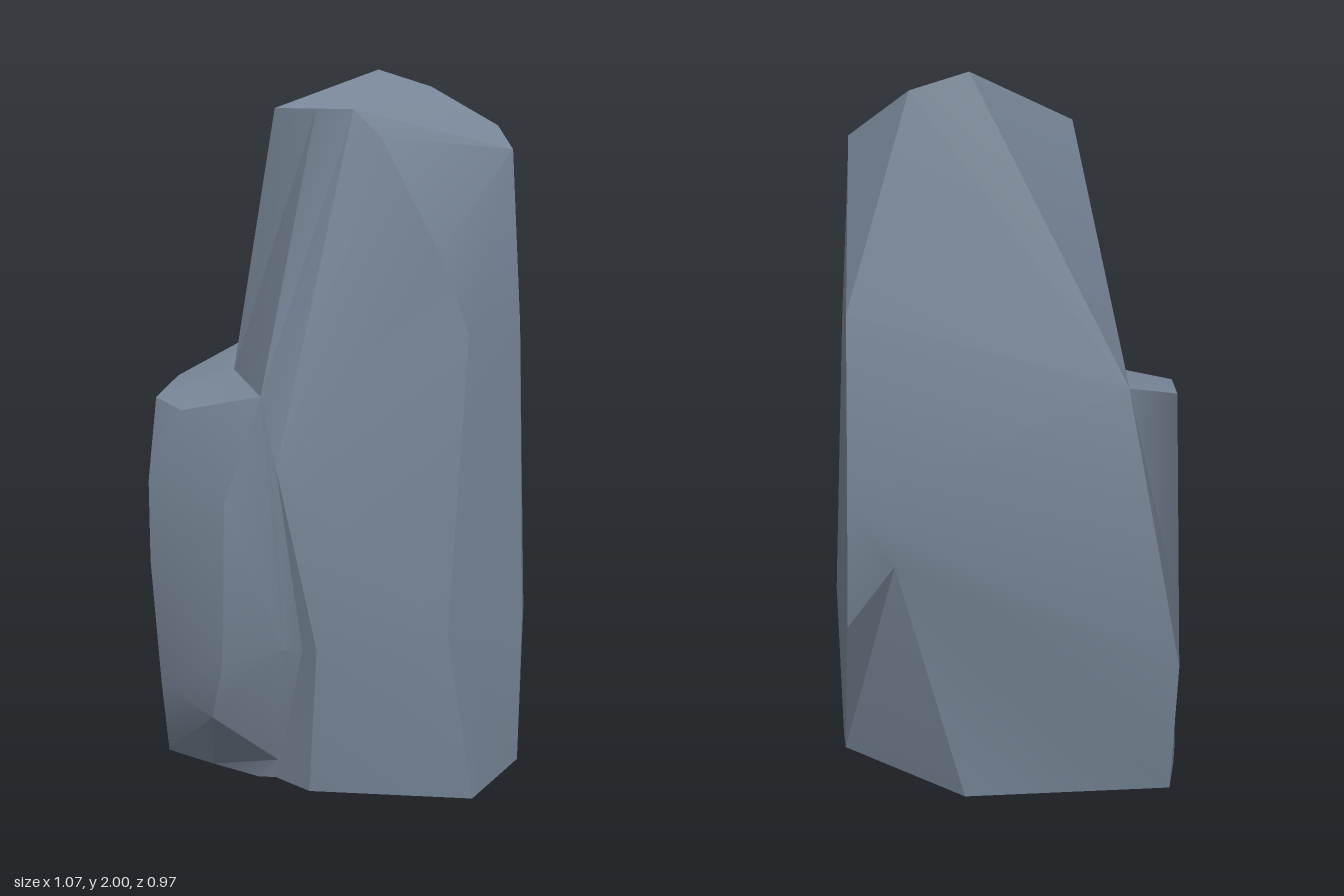
import * as THREE from 'three';
import { toCreasedNormals } from 'three/addons/utils/BufferGeometryUtils.js';

// Triangles between two ridges of any length, each running from top to bottom
function strip(a, b) {
  const tris = [];
  let i = 0, j = 0;
  while (i < a.length - 1 || j < b.length - 1) {
    const nextA = i < a.length - 1 ? a[i + 1][1] : -1;
    const nextB = j < b.length - 1 ? b[j + 1][1] : -1;
    if (nextA >= nextB) tris.push([a[i], a[++i], b[j]]);
    else tris.push([a[i], b[j + 1], b[j++]]);
  }
  return tris;
}

function fan(center, ring) {
  return ring.slice(1).map((p, i) => [center, ring[i], p]);
}

// Shared corners are the same array, so collapsed triangles are easy to drop
function buildMesh(name, tris, material) {
  const solid = tris.filter(([a, b, c]) => a !== b && b !== c && c !== a);
  const geometry = new THREE.BufferGeometry();
  geometry.setAttribute('position', new THREE.Float32BufferAttribute(solid.flat(2), 3));
  const mesh = new THREE.Mesh(toCreasedNormals(geometry, 0.45), material);
  mesh.name = name;
  return mesh;
}

export function createModel() {
  const stone = new THREE.MeshStandardMaterial({ color: 0x778596 });
  stone.name = 'slate stone';

  // Summit corners
  const peak = [0.155, 2, -0.28], peakRight = [0.315, 1.95, -0.28];
  const sideBack = [0.475, 1.84, -0.04], sideFront = [0.475, 1.78, 0.195];
  const brow = [0.02, 1.89, 0.37], browLeft = [-0.07, 1.89, 0.27], crownLeft = [-0.17, 1.89, 0.045];

  // Shoulder ledge corners
  const ledgeBack = [-0.26, 1.165, -0.42], ledgeSide = [-0.455, 1.11, -0.12];
  const ledgeCorner = [-0.51, 1.11, 0.22], ledgeLip = [-0.44, 1.09, 0.31];
  const ledgeFront = [-0.23, 1.15, 0.45], ledgeInner = [-0.293, 1.165, 0.105];

  // Corners shared by neighbouring ridges
  const cleft = [-0.19, 0.95, 0.43], sideMid = [0.5, 1.3, 0.225], notchTop = [0.53, 0.48, 0.22];

  // Back corners
  const backEdge = [[0.49, 1.36, -0.32], [0.495, 0.85, -0.36], [0.5, 0.49, -0.28], [0.51, 0.055, -0.03]];
  const backBulge = [-0.393, 0.41, -0.485], backHollow = [0.37, 0.68, -0.365];
  const backFootLeft = [-0.4, 0.015, -0.35], backFoot = [0.178, 0, -0.315];

  // Ridges running down the rock, from back left round the front to back right
  const ridges = [
    [ledgeBack, backBulge, backFootLeft],
    [ledgeSide, [-0.47, 0.45, -0.12], [-0.46, 0, -0.12]],
    [ledgeCorner, [-0.535, 0.88, 0.25], [-0.535, 0.65, 0.25], [-0.512, 0.28, 0.235], [-0.5, 0, 0.05]],
    [ledgeLip, [-0.33, 0.87, 0.485], [-0.34, 0.42, 0.48], [-0.37, 0.25, 0.42], [-0.37, 0, 0.16]],
    [ledgeFront, [-0.175, 0.45, 0.455], [-0.185, 0.08, 0.33], [-0.24, 0, 0.26]],
    [ledgeFront, cleft, [-0.12, 0.43, 0.41], [-0.19, 0, 0.27]],
    [cleft, [-0.085, 0.45, 0.46], [-0.1, 0, 0.37]],
    [brow, [0.09, 1.82, 0.39], [0.245, 1.52, 0.405], [0.33, 1.3, 0.39], [0.27, 0.49, 0.48], [0.35, 0, 0.455]],
    [sideFront, sideMid, [0.505, 0.49, 0.325], [0.515, 0.025, 0.255]],
    [sideFront, sideMid, notchTop, [0.475, 0.02, 0.195]],
    [sideFront, sideMid, notchTop, [0.515, 0.04, 0.135]],
    [sideBack, ...backEdge],
    [peakRight, ...backEdge],
  ];
  const walls = ridges.slice(1).flatMap((r, i) => strip(ridges[i], r));

  // Back: a tall leaning face above, a shallow undercut below
  const [, backCorner, ...backLow] = backEdge;
  const back = [
    ...fan(ledgeBack, [peak, peakRight, backEdge[0], backCorner, backBulge]),
    ...fan(backHollow, [backCorner, ...backLow, backFoot, backFootLeft, backBulge, backCorner]),
  ];

  // Steep faces rising from the ledge to the summit
  const rise = [
    [ledgeBack, crownLeft, peak],
    [ledgeBack, ledgeInner, crownLeft],
    [crownLeft, ledgeInner, browLeft],
    [browLeft, ledgeInner, ledgeFront],
    [browLeft, ledgeFront, brow],
    [ledgeFront, cleft, brow],
  ];

  const summitFront = fan(crownLeft, [browLeft, brow, sideFront]);
  const summitBack = fan(crownLeft, [sideFront, sideBack, peakRight, peak]);
  const ledge = fan(ledgeInner, [ledgeBack, ledgeSide, ledgeCorner, ledgeLip, ledgeFront]);

  // Underside, closed from the feet of the ridges
  const feet = [...ridges.map((r) => r[r.length - 1]), backFoot].reverse();
  const underside = fan([0, 0.015, 0.05], [...feet, feet[0]]);

  const group = new THREE.Group();
  group.name = 'rock';
  group.add(buildMesh('rockBody', [...walls, ...back, ...rise, ...summitFront, ...ledge], stone));
  group.add(buildMesh('summit', summitBack, stone));
  group.add(buildMesh('underside', underside, stone));
  return group;
}
